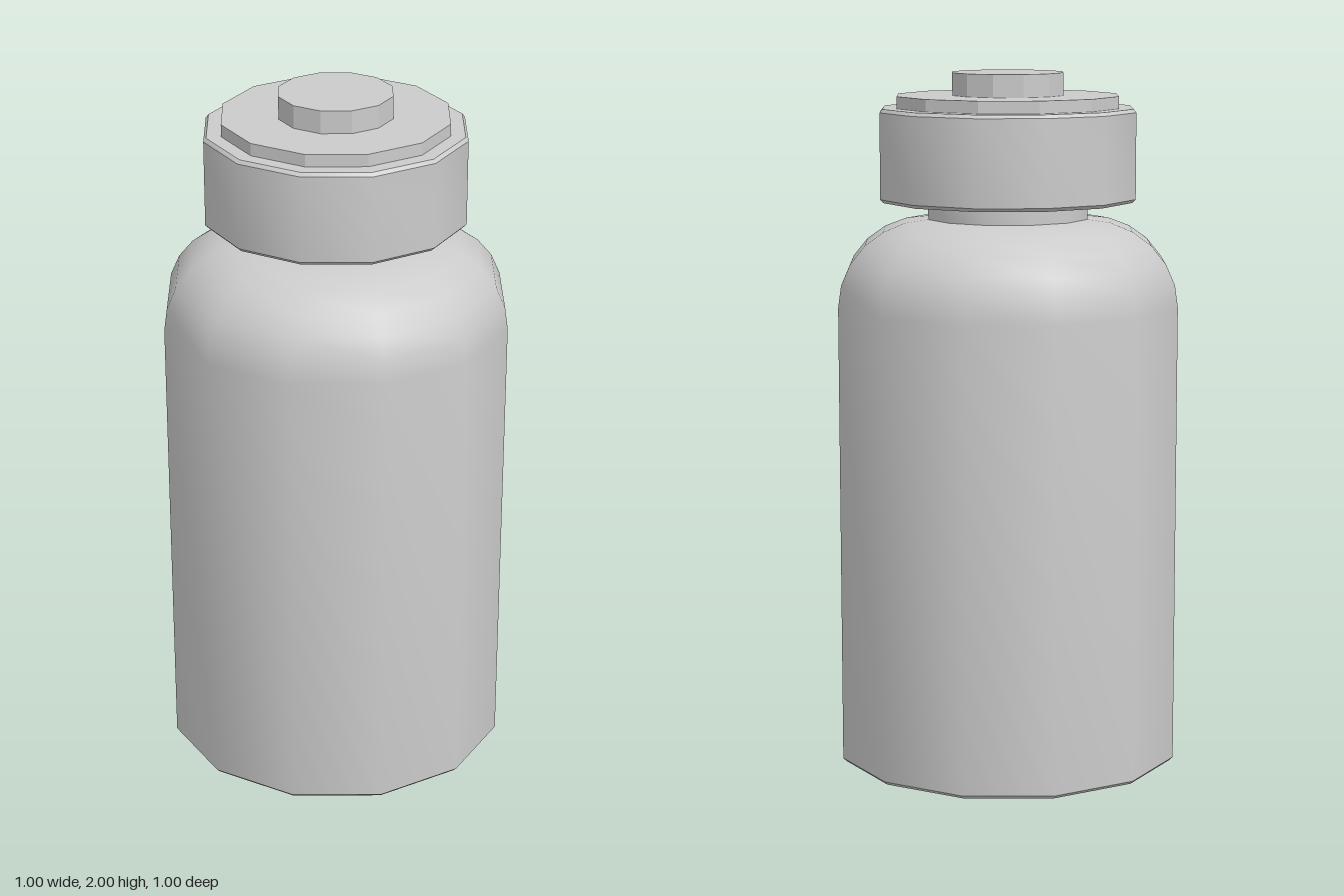
import * as THREE from 'three';
import { toCreasedNormals } from 'three/addons/utils/BufferGeometryUtils.js';

const SIDES = 12;

// Turned part from [radius, height] pairs, listed bottom to top
function turned(name, profile, crease) {
  const points = profile.map(([r, y]) => new THREE.Vector2(r, y));
  const geometry = toCreasedNormals(new THREE.LatheGeometry(points, SIDES), crease);
  const mesh = new THREE.Mesh(geometry, new THREE.MeshStandardMaterial({ color: 0xcccccc }));
  mesh.name = name;
  return mesh;
}

export function createModel() {
  const model = new THREE.Group();
  model.name = 'bottle';
  const smooth = 0.6, faceted = 0.2;

  // Rounded shoulder: a quarter ellipse from the wall to the neck
  const shoulder = [];
  for (let i = 0; i <= 6; i++) {
    const a = (i / 6) * Math.PI / 2;
    shoulder.push([0.235 + 0.265 * Math.cos(a), 1.34 + 0.245 * Math.sin(a)]);
  }

  // Body with a shallow hollow under the base, and the short neck
  model.add(turned('body', [
    [0, 0.025], [0.19, 0.025], [0.49, 0], [0.5, 0.01],
    ...shoulder, [0.235, 1.65], [0, 1.65],
  ], smooth));

  // Wide cap with narrow chamfers
  model.add(turned('cap', [
    [0, 1.635], [0.365, 1.635], [0.375, 1.645], [0.375, 1.89], [0.367, 1.9], [0, 1.9],
  ], smooth));

  // Stepped disc and knob on top of the cap
  model.add(turned('capDisc', [[0, 1.895], [0.325, 1.895], [0.325, 1.935], [0, 1.935]], faceted));
  model.add(turned('knob', [[0, 1.93], [0.163, 1.93], [0.163, 2], [0, 2]], faceted));

  return model;
}
